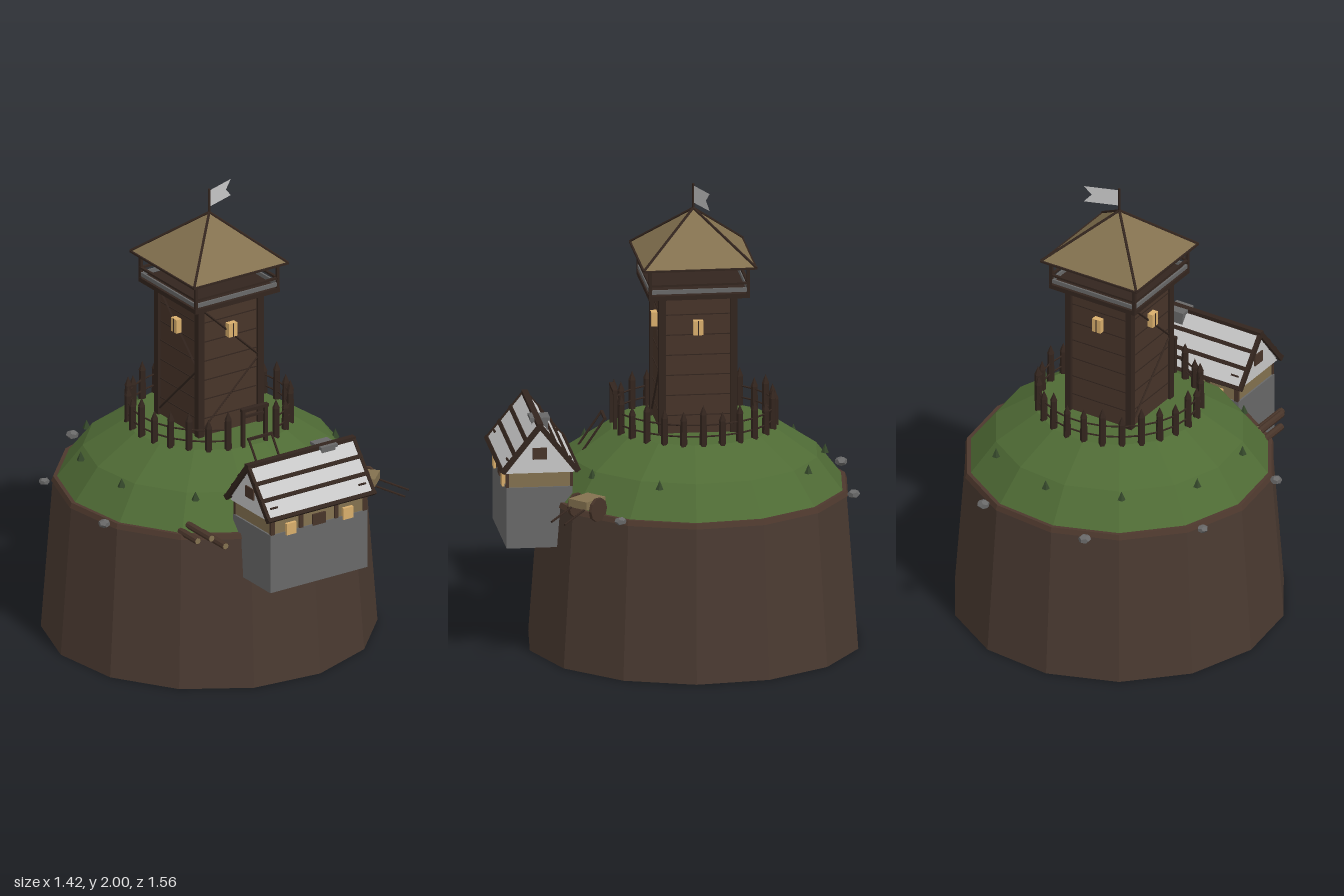
import * as THREE from 'three';

const mat = (name, color, extra) => Object.assign(new THREE.MeshStandardMaterial({ color, ...extra }), { name });
const M = {
  earth: mat('earth', 0x4a3a31),
  rim: mat('rim soil', 0x4d382d),
  grass: mat('grass', 0x4f6b35),
  tuft: mat('dark grass', 0x34472a),
  wood: mat('wood planks', 0x473429),
  timber: mat('dark timber', 0x33251e),
  thatch: mat('thatch', 0x83714f),
  plaster: mat('pale cloth and plaster', 0xc8c8c8, { side: THREE.DoubleSide }),
  stone: mat('stone', 0x686868),
  glow: mat('lit window', 0xd9ae6c),
};
const CZ = -0.07; // centre of the hill and tower
const V = (x, y, z) => new THREE.Vector3(x, y, z);

// Faceted normals
function flat(geo) {
  const g = geo.index ? geo.toNonIndexed() : geo;
  g.computeVertexNormals();
  return g;
}
function add(parent, name, geo, material, x = 0, y = 0, z = 0) {
  const m = new THREE.Mesh(flat(geo), material);
  m.name = name;
  m.position.set(x, y, z);
  parent.add(m);
  return m;
}
function box(parent, name, material, w, h, d, x, y, z) {
  return add(parent, name, new THREE.BoxGeometry(w, h, d), material, x, y, z);
}
// Round or square bar between two points
function bar(parent, name, material, a, b, r, sides = 6) {
  const m = add(parent, name, new THREE.CylinderGeometry(r, r, a.distanceTo(b), sides), material);
  m.position.copy(a).lerp(b, 0.5);
  m.quaternion.setFromUnitVectors(V(0, 1, 0), b.clone().sub(a).normalize());
  return m;
}
function group(parent, name, x = 0, y = 0, z = 0) {
  const g = new THREE.Group();
  g.name = name;
  g.position.set(x, y, z);
  parent.add(g);
  return g;
}

function buildHill(root) {
  const hill = group(root, 'hill', 0, 0, CZ);
  hill.rotation.y = 0.122;
  add(hill, 'cliff', new THREE.CylinderGeometry(0.662, 0.712, 0.67, 14), M.earth, 0, 0.335, 0);
  add(hill, 'rim', new THREE.CylinderGeometry(0.66, 0.668, 0.022, 14), M.rim, 0, 0.679, 0);
  const profile = [[0.645, 0.688], [0.535, 0.83], [0.355, 0.95], [0, 0.952]].map(p => new THREE.Vector2(...p));
  add(hill, 'grassMound', new THREE.LatheGeometry(profile, 14), M.grass);

  [[-0.25, -0.73, 0.028], [0.265, -0.72, 0.028], [-0.625, -0.39, 0.024], [-0.665, 0.12, 0.026], [0.57, 0.31, 0.026]]
    .forEach(([x, z, r], i) => {
      const rock = add(root, 'rock', new THREE.DodecahedronGeometry(r), M.stone, x, 0.69, z);
      rock.scale.y = 0.7;
      rock.rotation.y = i * 1.3;
    });
  [[0.01, -0.63], [-0.31, -0.535], [0.33, -0.52], [-0.52, -0.27], [-0.535, 0.06], [0.505, 0.135], [-0.355, 0.35], [0.29, 0.395]]
    .forEach(([x, z]) => add(root, 'grassTuft', new THREE.ConeGeometry(0.018, 0.04, 5), M.tuft, x, 0.825, z));
}

function buildPalisade(root) {
  const fence = group(root, 'palisade', 0, 0, CZ);
  const N = 26, step = Math.PI * 2 / N, R = 0.345;
  for (let i = 1; i < N - 1; i++) {
    const a = (i + 0.5) * step, h = 0.125 + 0.018 * Math.sin(i * 2.4);
    const stake = group(fence, 'stake', R * Math.sin(a), 0.94, R * Math.cos(a));
    add(stake, 'stakeShaft', new THREE.CylinderGeometry(0.014, 0.016, h, 6), M.timber, 0, h / 2, 0);
    add(stake, 'stakePoint', new THREE.ConeGeometry(0.016, 0.04, 6), M.timber, 0, h + 0.02, 0);
    // Rails link each stake to the next
    if (i < N - 2) for (const y of [0.985, 1.035]) {
      const p = t => V(R * Math.sin(t), y, R * Math.cos(t));
      bar(fence, 'fenceRail', M.timber, p(a), p(a + step), 0.004, 5);
    }
  }
  // Gate frame with a sloping ramp frame in front
  const gate = group(root, 'gate');
  for (const s of [-1, 1]) {
    box(gate, 'gatePost', M.timber, 0.015, 0.18, 0.015, s * 0.058, 1.03, 0.27);
    bar(gate, 'rampRail', M.timber, V(s * 0.058, 1.0, 0.313), V(s * 0.058, 0.855, 0.412), 0.005);
  }
  box(gate, 'gateLintel', M.timber, 0.135, 0.014, 0.02, 0, 1.115, 0.27);
  box(gate, 'gateCrossbar', M.timber, 0.12, 0.01, 0.012, 0, 1.08, 0.262);
  box(gate, 'rampBar', M.timber, 0.125, 0.01, 0.012, 0, 0.998, 0.313);
}

function buildTower(root) {
  const tower = group(root, 'tower', 0, 0, CZ);
  box(tower, 'towerBody', M.wood, 0.31, 0.62, 0.31, 0, 1.24, 0);
  box(tower, 'galleryFloor', M.timber, 0.43, 0.02, 0.43, 0, 1.56, 0);
  for (let k = 0; k < 4; k++) {
    const side = group(tower, 'towerSide');
    side.rotation.y = k * Math.PI / 2;
    box(side, 'cornerPost', M.timber, 0.03, 0.62, 0.03, 0.152, 1.25, 0.152);
    for (let i = 0; i < 6; i++) box(side, 'plankSeam', M.timber, 0.29, 0.004, 0.004, 0, 1.03 + i * 0.088, 0.156);
    box(side, 'window', M.glow, 0.042, 0.062, 0.028, 0, 1.415, 0.167);
    box(side, 'windowBar', M.timber, 0.004, 0.062, 0.003, 0, 1.415, 0.182);
    // Diagonal braces on the front and the right flank
    if (k === 0 || k === 3) {
      bar(side, 'brace', M.timber, V(-0.14, 1.53, 0.158), V(0.14, 1.265, 0.158), 0.005, 4);
      bar(side, 'brace', M.timber, V(0.14, 1.25, 0.158), V(-0.14, 0.98, 0.158), 0.005, 4);
    }
    // Gallery rails and roof
    box(side, 'galleryBoard', M.stone, 0.42, 0.018, 0.008, 0, 1.586, 0.208);
    box(side, 'galleryRail', M.timber, 0.43, 0.009, 0.012, 0, 1.614, 0.208);
    box(side, 'galleryPost', M.timber, 0.013, 0.13, 0.013, 0.208, 1.625, 0.208);
    box(side, 'eaveTrim', M.timber, 0.485, 0.008, 0.008, 0, 1.685, 0.239);
    bar(side, 'hipBeam', M.timber, V(0.24, 1.688, 0.24), V(0, 1.893, 0), 0.006, 5);
  }
  const roof = add(tower, 'towerRoof', new THREE.ConeGeometry(0.24 * Math.SQRT2, 0.205, 4), M.thatch, 0, 1.7875, 0);
  roof.rotation.y = Math.PI / 4;
  bar(tower, 'flagPole', M.timber, V(0, 1.86, 0), V(0, 2, 0), 0.005);
  const s = new THREE.Shape([[0, 0], [0.155, 0], [0.12, 0.038], [0.155, 0.075], [0, 0.075]].map(p => new THREE.Vector2(...p)));
  add(tower, 'flag', new THREE.ShapeGeometry(s), M.plaster, 0, 1.917, 0).rotation.y = 0.34;
}

function buildHouse(root) {
  const house = group(root, 'house', 0, 0, 0.615);
  box(house, 'stoneBase', M.stone, 0.495, 0.265, 0.28, 0, 0.6275, 0);
  box(house, 'upperWall', M.thatch, 0.48, 0.08, 0.27, 0, 0.795, 0);
  const tri = new THREE.Shape([[-0.15, 0.825], [0.15, 0.825], [0, 1.02]].map(p => new THREE.Vector2(...p)));
  const gable = new THREE.ExtrudeGeometry(tri, { depth: 0.51, bevelEnabled: false }).translate(0, 0, -0.255).rotateY(Math.PI / 2);
  add(house, 'gable', gable, M.plaster);
  for (const s of [-1, 1]) {
    box(house, 'gableWindow', M.wood, 0.008, 0.05, 0.06, s * 0.257, 0.91, 0);
    const slope = group(house, 'roofSlope', 0, 0.933, s * 0.08);
    slope.rotation.x = s * Math.atan2(0.2, 0.16);
    box(slope, 'roofPanel', M.plaster, 0.53, 0.012, 0.25, 0, 0, 0);
    for (const t of [0.122, 0.035, -0.043]) box(slope, 'roofBatten', M.timber, 0.55, 0.02, 0.017, 0, 0.004, s * t);
    for (const e of [-1, 1]) {
      box(slope, 'vergeBoard', M.timber, 0.015, 0.022, 0.256, e * 0.268, 0, 0);
      box(slope, 'roofCleat', M.timber, 0.035, 0.008, 0.008, e * 0.225, 0.009, s * 0.075);
    }
    // Wall openings and timber posts
    for (const x of [-0.145, 0.145]) box(house, 'houseWindow', M.glow, 0.05, 0.052, 0.02, x, 0.772, s * 0.14);
    box(house, 'shutter', M.wood, 0.065, 0.05, 0.014, 0, 0.78, s * 0.138);
    for (const x of [-0.235, -0.09, 0.09, 0.235]) box(house, 'wallPost', M.wood, 0.02, 0.075, 0.012, x, 0.797, s * 0.136);
  }
  box(house, 'ridgeBeam', M.timber, 0.55, 0.022, 0.026, 0, 1.033, 0);
  box(house, 'chimney', M.stone, 0.07, 0.1, 0.07, 0.13, 0.98, -0.012);
  box(house, 'chimneyCap', M.stone, 0.085, 0.014, 0.085, 0.13, 1.036, -0.012);
}

function buildProps(root) {
  // Handcart: local z points along the shafts
  const cart = group(root, 'cart', 0.442, 0.72, 0.437);
  cart.rotation.y = 0.75;
  box(cart, 'cartBed', M.thatch, 0.1, 0.035, 0.125, 0, 0.025, 0);
  bar(cart, 'axle', M.timber, V(-0.06, 0, 0), V(0.06, 0, 0), 0.006);
  for (const s of [-1, 1]) {
    add(cart, 'wheel', new THREE.CylinderGeometry(0.052, 0.052, 0.014, 10).rotateZ(Math.PI / 2), M.wood, s * 0.06, 0, 0);
    bar(cart, 'shaft', M.timber, V(s * 0.036, 0.015, 0.03), V(s * 0.036, -0.03, 0.19), 0.005);
  }
  // Stacked logs with pale cut ends
  [[-0.445, 0.692, 0.37, 0.5], [-0.412, 0.716, 0.38, 0.555], [-0.378, 0.692, 0.435, 0.61]].forEach(([x, y, z0, z1]) => {
    bar(root, 'log', M.wood, V(x, y, z0), V(x, y, z1), 0.016, 8);
    for (const z of [z0, z1]) bar(root, 'logEnd', M.thatch, V(x, y, z - 0.002), V(x, y, z + 0.002), 0.0135, 8);
  });
}

export function createModel() {
  const root = new THREE.Group();
  root.name = 'hillFort';
  [buildHill, buildPalisade, buildTower, buildHouse, buildProps].forEach(build => build(root));
  return root;
}
